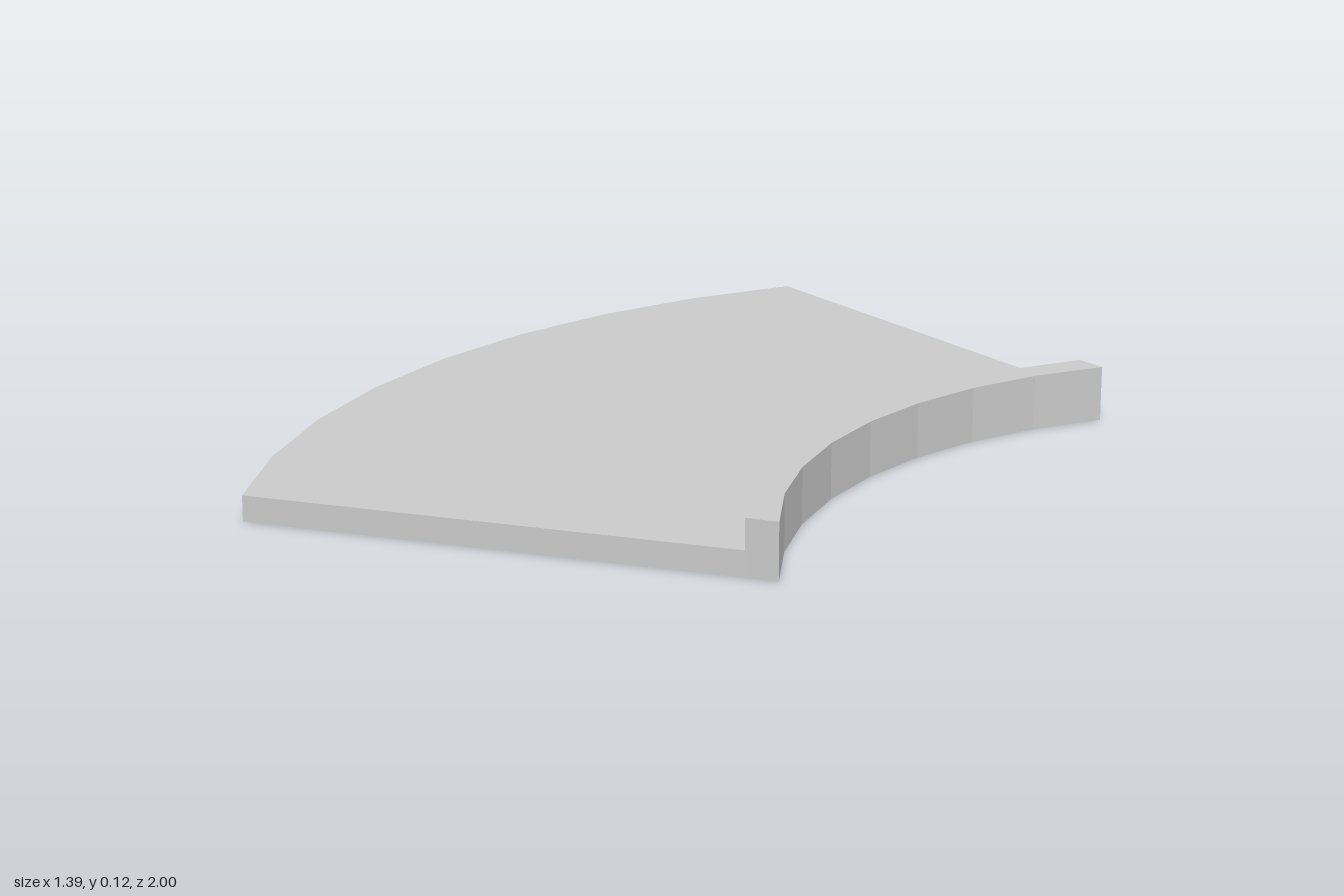
import * as THREE from 'three';

const SEGMENTS = 8;

// Points of an arc bulging to -x: apex at x = apex, ends at (endX, +-half)
function arc(apex, endX, half) {
  const sag = endX - apex;
  const radius = (half * half + sag * sag) / (2 * sag);
  const limit = Math.asin(half / radius);
  const points = [];
  for (let i = 0; i <= SEGMENTS; i++) {
    const a = limit * (2 * i / SEGMENTS - 1);
    points.push(new THREE.Vector2(apex + radius * (1 - Math.cos(a)), radius * Math.sin(a)));
  }
  return points;
}

// Upright slab between two arcs, standing on the ground
function slab(name, outer, inner, height, material) {
  const shape = new THREE.Shape([...outer, ...inner.slice().reverse()]);
  const geometry = new THREE.ExtrudeGeometry(shape, { depth: height, bevelEnabled: false, steps: 1 });
  geometry.rotateX(-Math.PI / 2);
  const mesh = new THREE.Mesh(geometry, material);
  mesh.name = name;
  return mesh;
}

export function createModel() {
  const group = new THREE.Group();
  group.name = 'curvedPavement';
  const material = new THREE.MeshStandardMaterial({ color: 0xcccccc, flatShading: true });

  const outerEdge = arc(-0.697, -0.404, 1);
  const curbBack = arc(0.42, 0.626, 0.664);
  const curbFace = arc(0.49, 0.694, 0.645);

  // Wide flat slab, then the raised curb along its concave side
  group.add(slab('pavement', outerEdge, curbBack, 0.057, material));
  group.add(slab('curb', curbBack, curbFace, 0.125, material));
  return group;
}
